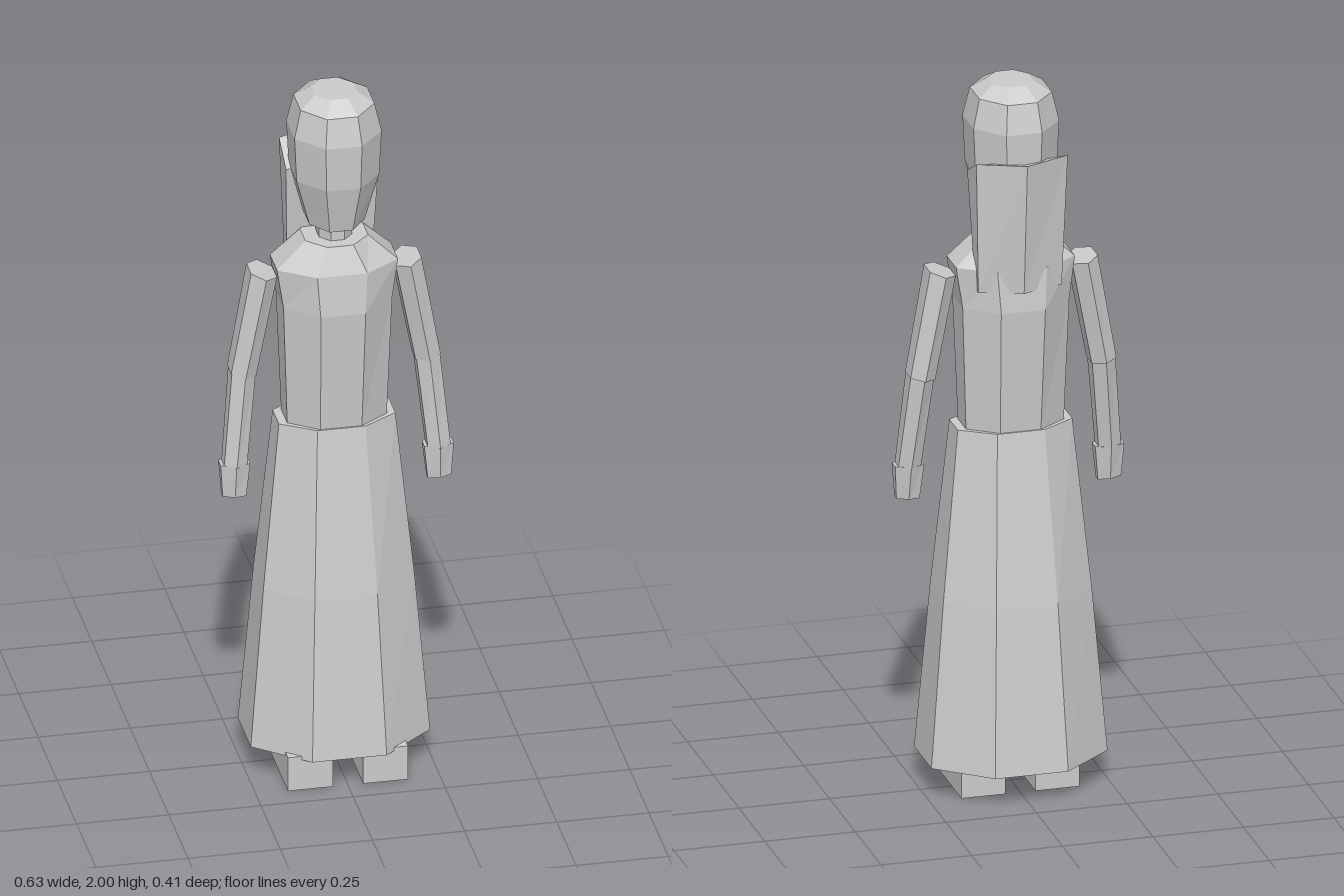
import * as THREE from 'three';

const material = new THREE.MeshStandardMaterial({ color: 0xcccccc, flatShading: true });

// One cross-section: centre, half extents in x and z, sides, and tilt (rise per unit x)
function ring([x, y, z], hx, hz, sides = 8, tilt = 0) {
  const points = [];
  const flat = 1 / Math.cos(Math.PI / sides); // flats face +x and -x
  const zScale = sides === 8 ? flat : 1; // hexagons have corners on the z axis
  for (let i = 0; i < sides; i++) {
    const a = ((i + 0.5) * 2 * Math.PI) / sides;
    const dx = Math.cos(a) * flat * hx;
    points.push(new THREE.Vector3(x + dx, y + tilt * dx, z + Math.sin(a) * zScale * hz));
  }
  return points;
}

// Closed faceted skin through rings ordered from bottom to top
function loft(name, rings) {
  const pos = [];
  const tri = (...corners) => corners.forEach((p) => pos.push(p.x, p.y, p.z));
  const n = rings[0].length;
  const centre = (r) => r.reduce((s, p) => s.add(p), new THREE.Vector3()).divideScalar(n);
  const bottom = rings[0], top = rings[rings.length - 1];
  const cb = centre(bottom), ct = centre(top);
  for (let i = 0; i < n; i++) {
    const j = (i + 1) % n;
    for (let k = 0; k < rings.length - 1; k++) {
      const lo = rings[k], up = rings[k + 1];
      tri(lo[i], up[i], lo[j]);
      tri(lo[j], up[i], up[j]);
    }
    tri(cb, bottom[i], bottom[j]);
    tri(ct, top[j], top[i]);
  }
  const geometry = new THREE.BufferGeometry();
  geometry.setAttribute('position', new THREE.Float32BufferAttribute(pos, 3));
  geometry.computeVertexNormals();
  const mesh = new THREE.Mesh(geometry, material);
  mesh.name = name;
  return mesh;
}

// Eight-sided part from rows of [y, half width, half depth]
const column = (name, rows) => loft(name, rows.map(([y, hx, hz]) => ring([0, y, 0], hx, hz)));

function createArm(side) {
  const arm = new THREE.Group();
  arm.name = side > 0 ? 'leftArm' : 'rightArm';
  const hex = (x, y, z, hx, hz, tilt) => ring([side * x, y, z], hx, hz, 6, side * tilt);
  arm.add(
    loft('upperArm', [hex(0.25, 1.18, 0, 0.034, 0.053, 0.15), hex(0.196, 1.475, 0, 0.035, 0.063, 0.25)]),
    loft('forearm', [hex(0.276, 0.92, 0.028, 0.031, 0.037, 0.05), hex(0.25, 1.185, 0.002, 0.032, 0.05, 0.12)]),
    loft('hand', [hex(0.278, 0.825, 0.03, 0.032, 0.02, 0.08), hex(0.276, 0.922, 0.027, 0.04, 0.034, 0.02)])
  );
  return arm;
}

export function createModel() {
  const model = new THREE.Group();
  model.name = 'figure';

  model.add(
    column('skirt', [[0.09, 0.243, 0.204], [0.55, 0.205, 0.16], [1.03, 0.158, 0.1]]),
    column('torso', [[1.0, 0.135, 0.095], [1.03, 0.135, 0.096], [1.38, 0.147, 0.122], [1.495, 0.164, 0.112], [1.57, 0.085, 0.085]]),
    column('neck', [[1.55, 0.045, 0.05], [1.64, 0.045, 0.05]]),
    column('head', [[1.62, 0.075, 0.095], [1.76, 0.112, 0.126], [1.89, 0.118, 0.132], [1.97, 0.1, 0.114], [2.0, 0.057, 0.062]])
  );

  // Hair hanging behind the head, with a ridge down the back
  const hairRing = (w, yFront, yBack, front, corner, ridge) => [
    new THREE.Vector3(w, yFront, front),
    new THREE.Vector3(-w, yFront, front),
    new THREE.Vector3(-w, yBack, corner),
    new THREE.Vector3(0, yBack, ridge),
    new THREE.Vector3(w, yBack, corner),
  ];
  model.add(loft('backHair', [
    hairRing(0.115, 1.44, 1.435, -0.06, -0.09, -0.13),
    hairRing(0.126, 1.76, 1.81, -0.02, -0.11, -0.162),
  ]));

  // Arms and shoes on both sides
  for (const side of [1, -1]) {
    model.add(createArm(side));
    const shoe = new THREE.Mesh(new THREE.BoxGeometry(0.122, 0.1, 0.278), material);
    shoe.name = side > 0 ? 'leftShoe' : 'rightShoe';
    shoe.position.set(side * 0.102, 0.05, 0.044);
    model.add(shoe);
  }
  return model;
}
